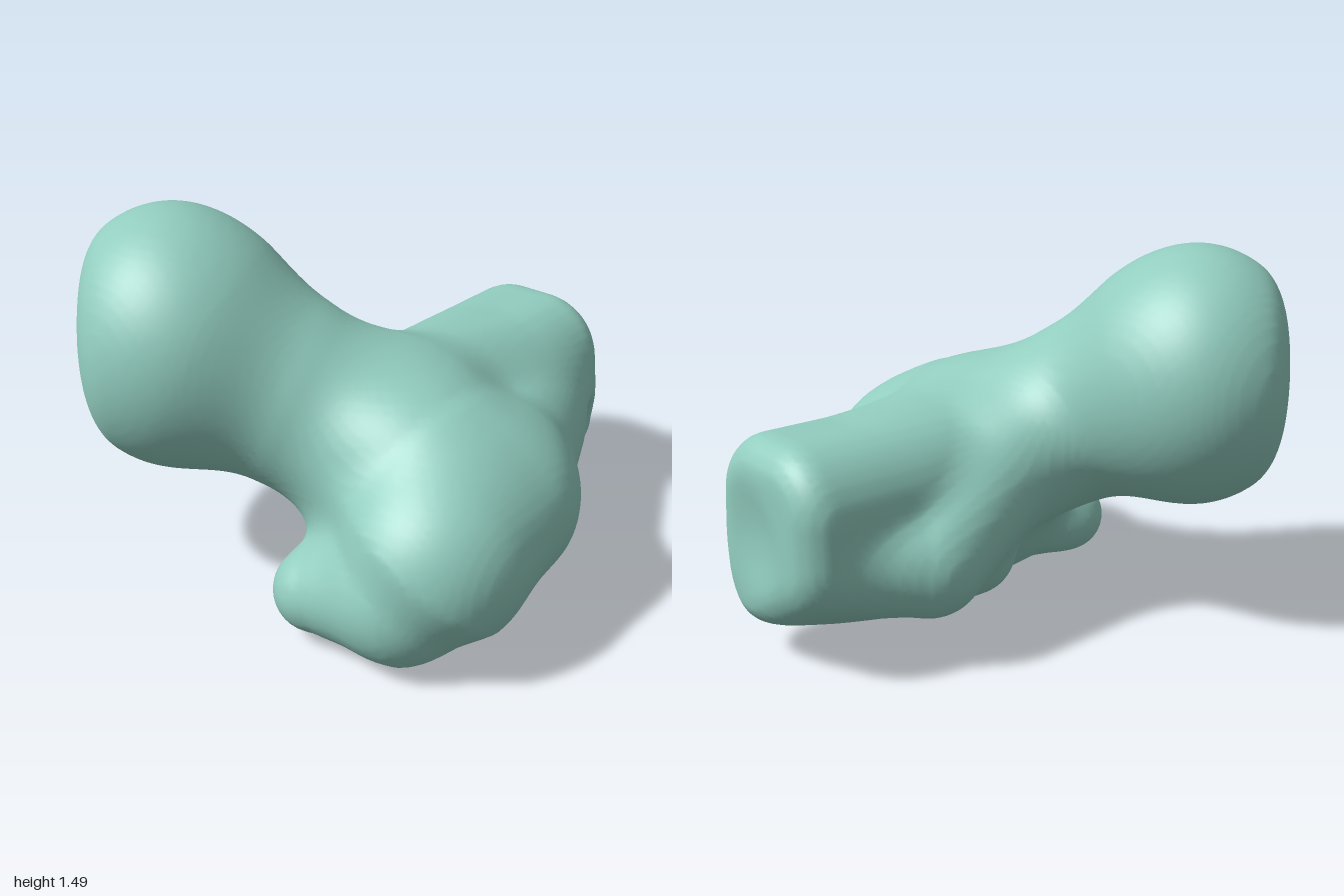
import * as THREE from 'three';

// Signed-distance helpers
const clamp = (v, a, b) => Math.min(b, Math.max(a, v));
const blend = (a, b, k) => {
  const h = Math.max(k - Math.abs(a - b), 0) / k;
  return Math.min(a, b) - h * h * k * 0.25;
};
const carve = (a, b, k) => -blend(-a, b, k);

function ellipsoid(x, y, z, rx, ry, rz) {
  const k0 = Math.hypot(x / rx, y / ry, z / rz);
  const k1 = Math.hypot(x / (rx * rx), y / (ry * ry), z / (rz * rz));
  return k1 < 1e-6 ? -Math.min(rx, ry, rz) : k0 * (k0 - 1) / k1;
}

// Tapered limb from point a (radius ra) to point b (radius rb)
function limb(x, y, z, a, ra, b, rb) {
  const dx = b[0] - a[0], dy = b[1] - a[1], dz = b[2] - a[2];
  const px = x - a[0], py = y - a[1], pz = z - a[2];
  const t = clamp((px * dx + py * dy + pz * dz) / (dx * dx + dy * dy + dz * dz), 0, 1);
  return Math.hypot(px - t * dx, py - t * dy, pz - t * dz) - (ra + (rb - ra) * t);
}

// Bar along z: corner radius r in its section, edge radius e at its ends
function bar(x, y, z, hx, hy, hz, r, e) {
  const qx = Math.abs(x) - hx + r, qy = Math.abs(y) - hy + r;
  const side = Math.hypot(Math.max(qx, 0), Math.max(qy, 0)) + Math.min(Math.max(qx, qy), 0) - r + e;
  const end = Math.abs(z) - hz + e;
  return Math.hypot(Math.max(side, 0), Math.max(end, 0)) + Math.min(Math.max(side, end), 0) - e;
}

function field(x, y, z) {
  // shaft running to the back, its lower right corner cut away
  let d = bar(x - 0.12, y - 0.485, z + 0.5, 0.32, 0.39, 0.5, 0.25, 0.13);
  d = carve(d, 0.1 - (-0.45 * x - 0.8 * y - 0.3 * z), 0.12);

  // flare towards the left side, core under it, sloping ridge on top
  d = blend(d, limb(x, y, z, [0.47, 0.46, -0.1], 0.33, [0.24, 0.46, -0.66], 0.3), 0.1);
  d = blend(d, limb(x, y, z, [0.33, 0.37, -0.06], 0.32, [0.38, 0.36, 0.2], 0.33), 0.08);
  d = blend(d, limb(x, y, z, [0.22, 0.62, 0.02], 0.33, [0.14, 0.55, -0.45], 0.32), 0.06);

  // side knob
  const knob = Math.min(
    limb(x, y, z, [-0.14, 0.38, -0.45], 0.215, [-0.03, 0.62, -0.06], 0.26),
    limb(x, y, z, [-0.14, 0.38, -0.45], 0.215, [-0.02, 0.42, -0.74], 0.18));
  d = blend(d, knob, 0.06);

  // rounded front mass
  let front = limb(x, y, z, [0.4, 0.58, 0.2], 0.34, [0.46, 0.56, 0.2], 0.35);
  front = blend(front, limb(x, y, z, [0.58, 0.48, 0.06], 0.355, [0.605, 0.43, 0.32], 0.34), 0.1);
  // heel, sole and inward hook
  front = blend(front, limb(x, y, z, [0.33, 0.22, 0.06], 0.21, [0.35, 0.22, 0.45], 0.21), 0.1);
  let foot = limb(x, y, z, [0.23, 0.19, 0.59], 0.16, [0.53, 0.27, 0.48], 0.265);
  foot = blend(foot, limb(x, y, z, [0.53, 0.27, 0.48], 0.265, [0.59, 0.38, 0.41], 0.335), 0.04);
  d = blend(d, blend(front, foot, 0.1), 0.1);

  // head, flattened on its outer face
  const hx = x + 0.5, hz = z - 0.555;
  const out = (hz - hx) * Math.SQRT1_2;
  let head = ellipsoid(out, y - 0.985, (hz + hx) * Math.SQRT1_2, 0.43, 0.495, 0.485);
  head = carve(head, 0.345 - out, 0.12);
  // neck
  const neck = limb(x, y, z, [-0.38, 0.95, 0.49], 0.39, [0.22, 0.59, 0.16], 0.32);
  d = blend(d, blend(head, neck, 0.14), 0.22);

  // side pit and shallow hollow in the end face
  d = carve(d, ellipsoid(x - 0.53, y - 0.36, z + 0.79, 0.14, 0.12, 0.11), 0.08);
  return carve(d, ellipsoid(x - 0.18, y - 0.5, z + 1.11, 0.17, 0.2, 0.12), 0.08);
}

// Turn the field into a smooth mesh with one vertex per crossed cell
function skin(f, min, max, step) {
  const n = min.map((v, i) => Math.ceil((max[i] - v) / step) + 1);
  const stride = [1, n[0], n[0] * n[1]];
  const values = new Float32Array(n[0] * n[1] * n[2]);
  const cell = new Int32Array(values.length).fill(-1);
  const pos = [], index = [];
  const each = (lo, fn) => {
    for (let k = lo; k < n[2] - 1; k++)
      for (let j = lo; j < n[1] - 1; j++)
        for (let i = lo; i < n[0] - 1; i++) fn([i, j, k], i + j * stride[1] + k * stride[2]);
  };
  for (let k = 0, q = 0; k < n[2]; k++)
    for (let j = 0; j < n[1]; j++)
      for (let i = 0; i < n[0]; i++)
        values[q++] = f(min[0] + i * step, min[1] + j * step, min[2] + k * step);

  // vertices: mean of the edge crossings, then pulled onto the surface
  each(0, (g, q) => {
    const sum = [0, 0, 0];
    let hits = 0;
    for (let a = 0; a < 3; a++) {
      const b = (a + 1) % 3, c = (a + 2) % 3;
      for (let m = 0; m < 4; m++) {
        const ob = m & 1, oc = m >> 1;
        const s = q + ob * stride[b] + oc * stride[c];
        const v0 = values[s], v1 = values[s + stride[a]];
        if ((v0 < 0) === (v1 < 0)) continue;
        sum[a] += v0 / (v0 - v1);
        sum[b] += ob;
        sum[c] += oc;
        hits++;
      }
    }
    if (!hits) return;
    let p = sum.map((s, i) => min[i] + (g[i] + s / hits) * step);
    const e = 0.002;
    for (let it = 0; it < 2; it++) {
      const [x, y, z] = p;
      const v = f(x, y, z);
      const grad = [f(x + e, y, z) - f(x - e, y, z), f(x, y + e, z) - f(x, y - e, z),
        f(x, y, z + e) - f(x, y, z - e)].map(w => w / (2 * e));
      const len2 = Math.max(0.2, grad[0] ** 2 + grad[1] ** 2 + grad[2] ** 2);
      p = p.map((w, i) => w - clamp(v * grad[i] / len2, -step * 0.4, step * 0.4));
    }
    cell[q] = pos.length / 3;
    pos.push(...p);
  });

  // one quad round every crossed grid edge, facing outwards
  each(1, (g, q) => {
    for (let a = 0; a < 3; a++) {
      const inside = values[q] < 0;
      if (inside === (values[q + stride[a]] < 0)) continue;
      const b = stride[(a + 1) % 3], c = stride[(a + 2) % 3];
      const quad = [cell[q - b - c], cell[q - c], cell[q], cell[q - b]];
      if (!inside) quad.reverse();
      index.push(quad[0], quad[1], quad[2], quad[0], quad[2], quad[3]);
    }
  });

  const geometry = new THREE.BufferGeometry();
  geometry.setAttribute('position', new THREE.Float32BufferAttribute(pos, 3));
  geometry.setIndex(index);
  geometry.computeVertexNormals();
  return geometry;
}

export function createModel() {
  const geometry = skin(field, [-1.15, -0.15, -1.2], [1.15, 1.65, 1.2], 0.026);
  const bone = new THREE.Mesh(geometry, new THREE.MeshStandardMaterial({ color: 0x92cdbf }));
  bone.name = 'bone';

  // stand it on the ground
  geometry.computeBoundingBox();
  bone.position.y = -geometry.boundingBox.min.y;

  const group = new THREE.Group();
  group.name = 'boneModel';
  group.add(bone);
  return group;
}
